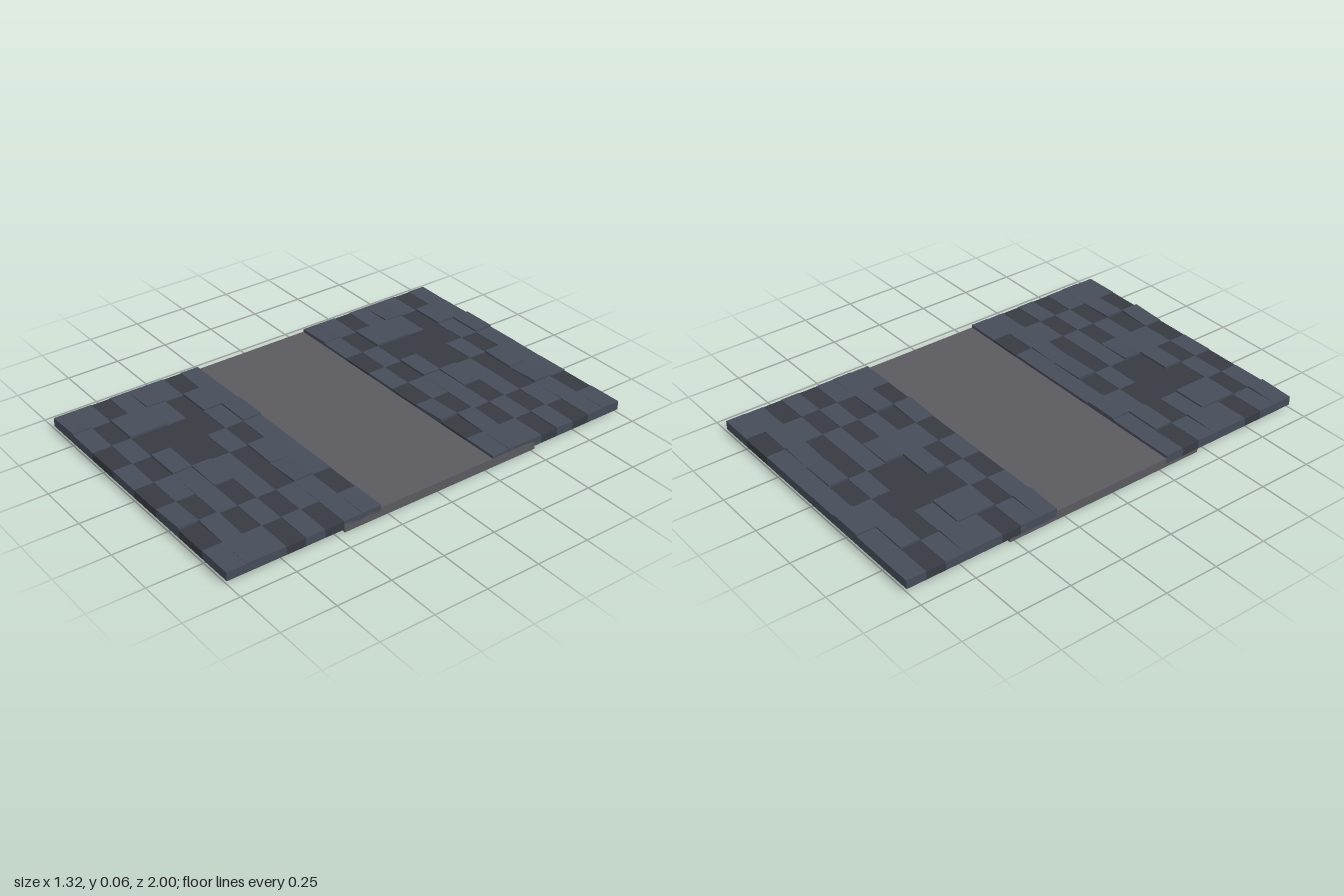
import * as THREE from 'three';

const HALF_W = 0.66, COLS = 8, ROWS = 8, BASE = 0.015;
const TILE_W = (2 * HALF_W) / COLS;

// One string per row, back to front: D is a dark stone, L a light one, R a raised light one
const PATTERN = [
  'LLRLLLDL',
  'DRLDRRLL',
  'LDDLDDLD',
  'RLDDLLDR',
  'LRDDRDLD',
  'DRDRLLDL',
  'LDLDLDRL',
  'RLDLDRDL',
];

// Top height at the left and right edge of each column of raised stones
const EDGES = [
  [0.055, 0.062], [0.062, 0.063], [0.063, 0.063], [0.063, 0.063],
  [0.063, 0.059], [0.055, 0.063], [0.063, 0.056], [0.057, 0.055],
];

const material = (color) => new THREE.MeshStandardMaterial({ color, flatShading: true });

// A box whose top slopes from height h0 on its -x edge to h1 on its +x edge
function slopedBlock(x, z, depth, h0, h1) {
  const g = new THREE.BoxGeometry(TILE_W, 1, depth);
  const p = g.attributes.position;
  for (let i = 0; i < p.count; i++) {
    const top = p.getX(i) < 0 ? h0 : h1;
    p.setY(i, p.getY(i) > 0 ? top : BASE);
  }
  g.translate(x, 0, z);
  g.computeVertexNormals();
  return g;
}

// A walkway of sloping stones between two z positions
function pavement(name, z0, z1, light, dark) {
  const group = new THREE.Group();
  group.name = name;
  const depth = (z1 - z0) / ROWS;
  PATTERN.forEach((row, r) => {
    for (let c = 0; c < COLS; c++) {
      const kind = row[c];
      let [h0, h1] = EDGES[c];
      if (kind === 'D') h0 = h1 = 0.052;
      else if (kind === 'L') { h0 = 0.055; h1 = (r + c) % 2 ? 0.056 : 0.054; }
      const stone = new THREE.Mesh(
        slopedBlock(-HALF_W + (c + 0.5) * TILE_W, z0 + (r + 0.5) * depth, depth, h0, h1),
        kind === 'D' ? dark : light
      );
      stone.name = 'pavingStone';
      group.add(stone);
    }
  });
  return group;
}

export function createModel() {
  const model = new THREE.Group();
  model.name = 'pavedRoad';
  const light = material(0x464c59), dark = material(0x373b42);

  // Road slab running beneath both pavements
  const road = new THREE.Mesh(new THREE.BoxGeometry(2 * HALF_W, 0.042, 0.98), material(0x5b5b5f));
  road.name = 'roadSlab';
  road.position.set(0, 0.021, -0.03);
  model.add(road);

  model.add(pavement('backPavement', -1, -0.29, light, dark));
  model.add(pavement('frontPavement', 0.285, 1, light, dark));
  return model;
}
